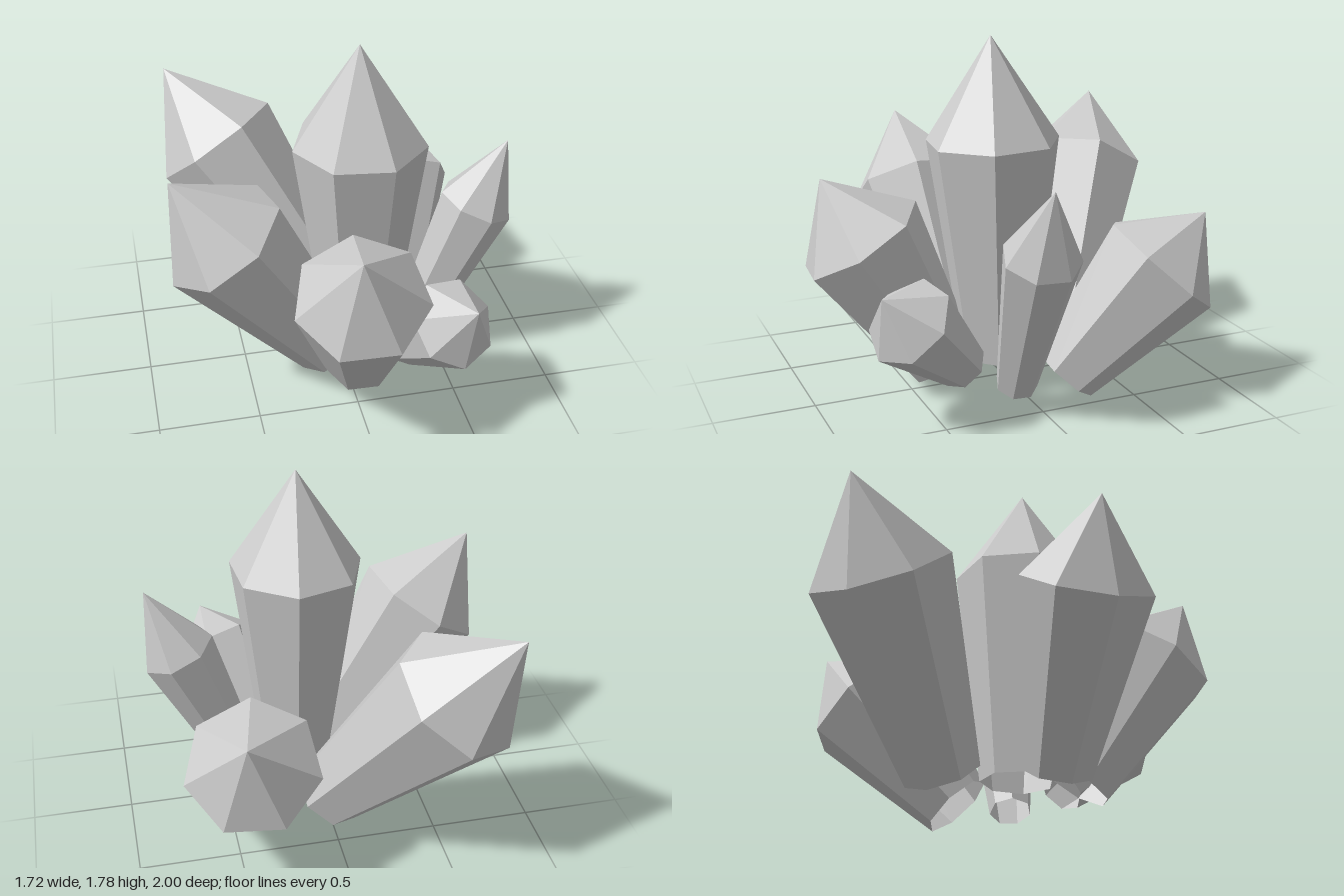
import * as THREE from 'three';

const SIDES = 7;
const SHOULDER = 0.682; // fraction of the length where the point begins
const TAPER = 0.55;     // base radius relative to the shoulder radius

// base centre, tip, shoulder radius, and a shoulder corner that sets the twist
const CRYSTALS = [
  { name: 'centreCrystal',     base: [0.10, 0.17, 0.07],  tip: [0.085, 1.78, 0.10],  radius: 0.335, corner: [0.14, 1.27, -0.26] },
  { name: 'frontCrystal',      base: [0.04, 0.155, 0.35], tip: [-0.08, 1.12, 0.91],  radius: 0.325, corner: [-0.02, 1.00, 0.42] },
  { name: 'backRightCrystal',  base: [0.01, 0.16, -0.31], tip: [-0.76, 1.30, -0.86], radius: 0.345, corner: [-0.23, 1.13, -0.66] },
  { name: 'rightCrystal',      base: [-0.09, 0.17, 0.22], tip: [-0.85, 1.26, 0.28],  radius: 0.325, corner: [-0.33, 1.10, 0.335] },
  { name: 'leftCrystal',       base: [0.38, 0.11, 0.09],  tip: [0.84, 1.20, 0.11],   radius: 0.19,  corner: [0.54, 0.93, 0.09] },
  { name: 'frontLeftCrystal',  base: [0.28, 0.21, 0.33],  tip: [0.50, 0.69, 0.80],   radius: 0.225, corner: [0.31, 0.73, 0.53] },
  { name: 'backLeftCrystal',   base: [0.33, 0.11, -0.19], tip: [0.50, 0.91, -0.87],  radius: 0.33,  corner: [0.79, 0.585, -0.645] },
];

// One faceted crystal: open base, flaring shaft, pyramid point
function makeCrystal({ name, base, tip, radius, corner }, material) {
  const b = new THREE.Vector3(...base);
  const axis = new THREE.Vector3(...tip).sub(b);
  const length = axis.length();
  axis.normalize();

  const profile = [
    new THREE.Vector2(radius * TAPER, 0),
    new THREE.Vector2(radius, length * SHOULDER),
    new THREE.Vector2(0, length),
  ];
  const mesh = new THREE.Mesh(new THREE.LatheGeometry(profile, SIDES), material);
  mesh.name = name;

  // Stand the crystal along its axis, with its first corner facing the given point
  const zDir = new THREE.Vector3(...corner).sub(b).projectOnPlane(axis).normalize();
  const xDir = new THREE.Vector3().crossVectors(axis, zDir);
  mesh.quaternion.setFromRotationMatrix(new THREE.Matrix4().makeBasis(xDir, axis, zDir));
  mesh.position.copy(b);
  return mesh;
}

export function createModel() {
  const group = new THREE.Group();
  group.name = 'crystalCluster';
  // The shafts are open underneath, so their insides show
  const material = new THREE.MeshStandardMaterial({
    color: 0xcccccc, flatShading: true, side: THREE.DoubleSide,
  });
  for (const crystal of CRYSTALS) group.add(makeCrystal(crystal, material));
  return group;
}
